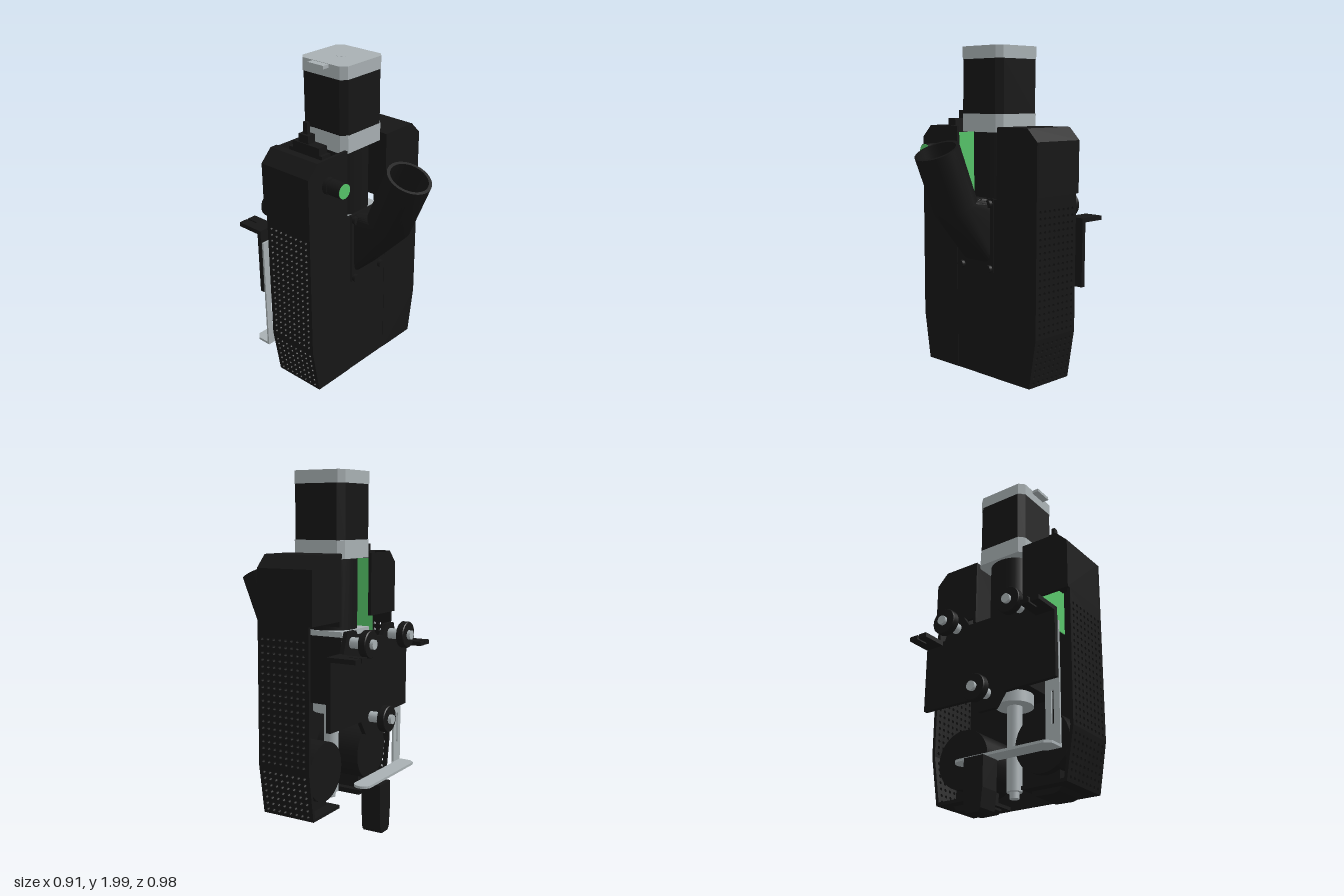
import * as THREE from 'three';
import { toCreasedNormals } from 'three/addons/utils/BufferGeometryUtils.js';

const black = new THREE.MeshStandardMaterial({ color: 0x161616 });
const blackThin = new THREE.MeshStandardMaterial({ color: 0x161616, side: THREE.DoubleSide });
const grey = new THREE.MeshStandardMaterial({ color: 0xa8b0b3 });
const green = new THREE.MeshStandardMaterial({ color: 0x55c468 });

const AXIS_Z = -0.095; // motor and spindle axis

function add(parent, name, geometry, material = black) {
  const mesh = new THREE.Mesh(geometry, material);
  mesh.name = name;
  parent.add(mesh);
  return mesh;
}

// Box from its limits on each axis
function box(parent, name, [x0, x1], [y0, y1], [z0, z1], material) {
  const g = new THREE.BoxGeometry(x1 - x0, y1 - y0, z1 - z0);
  return add(parent, name, g.translate((x0 + x1) / 2, (y0 + y1) / 2, (z0 + z1) / 2), material);
}

// Upright cylinder
function post(parent, name, r, y0, y1, x, z, material) {
  const g = new THREE.CylinderGeometry(r, r, y1 - y0, 32);
  return add(parent, name, g.translate(x, (y0 + y1) / 2, z), material);
}

// Cylinder running front to back
function pin(parent, name, r, z0, z1, x, y, material) {
  const g = new THREE.CylinderGeometry(r, r, z1 - z0, 28).rotateX(Math.PI / 2);
  return add(parent, name, g.translate(x, y, (z0 + z1) / 2), material);
}

const polygon = (pts) => new THREE.Shape(pts.map(([x, y]) => new THREE.Vector2(x, y)));
const extrude = (shape, depth) =>
  new THREE.ExtrudeGeometry(shape, { depth, bevelEnabled: false, curveSegments: 8 });

// Outline in x,y extruded between two z values
const slab = (parent, name, pts, z0, z1, material) =>
  add(parent, name, extrude(polygon(pts), z1 - z0).translate(0, 0, z0), material);

// Outline in x,z extruded between two y values
const layer = (parent, name, shape, y0, y1, material) =>
  add(parent, name, extrude(shape, y1 - y0).rotateX(Math.PI / 2).translate(0, y1, 0), material);

// Wall standing on a line in x,y, spanning z, with optional rows of vent holes
function wall(parent, name, [x0, y0], [x1, y1], z0, z1, ventRows = 0) {
  const len = Math.hypot(x1 - x0, y1 - y0);
  const shape = polygon([[0, z0], [len, z0], [len, z1], [0, z1]]);
  for (let r = 0; r < ventRows; r++) {
    for (let c = 0; c < 8; c++) {
      const hole = new THREE.Path();
      hole.absarc(0.025 + r * 0.037, 0.055 - c * 0.037, 0.009, 0, Math.PI * 2, true);
      shape.holes.push(hole);
    }
  }
  const t = 0.018, dx = (x1 - x0) / len, dy = (y1 - y0) / len;
  const placing = new THREE.Matrix4().makeBasis(
    new THREE.Vector3(dx, dy, 0), new THREE.Vector3(0, 0, 1), new THREE.Vector3(dy, -dx, 0));
  placing.setPosition(x0, y0, 0);
  add(parent, name, extrude(shape, t).translate(0, 0, -t).applyMatrix4(placing));
}

// Half of the housing, modelled on +x; topEnd is where the roof stops
function housingHalf(name, topEnd) {
  const g = new THREE.Group();
  g.name = name;
  const low = -0.235, high = -0.255, front = 0.085;
  slab(g, 'frontPanel', [[0.16, 0.15], [0.41, 0.15], [0.455, 0.43], [0.455, 1.49],
    [0.385, 1.56], [0.16, 1.56]], 0.067, front);
  wall(g, 'floor', [0.14, 0.15], [0.41, 0.15], low, 0.07);
  wall(g, 'lowerSide', [0.41, 0.15], [0.455, 0.43], low, 0.07, 7);
  wall(g, 'ventedSide', [0.455, 0.43], [0.455, 1.2], low, 0.07, 19);
  wall(g, 'upperSide', [0.455, 1.2], [0.455, 1.49], high, 0.07);
  wall(g, 'roofChamfer', [0.455, 1.49], [0.385, 1.56], high, 0.07);
  wall(g, 'roof', [0.385, 1.56], [topEnd, 1.56], high, 0.07);
  slab(g, 'upperBackPanel', [[0.163, 1.2], [0.45, 1.2], [0.45, 1.485], [0.383, 1.553],
    [0.163, 1.553]], high, high + 0.018);
  // Blower and its outlet below the floor
  pin(g, 'blower', 0.165, -0.215, 0.067, 0.255, 0.385);
  box(g, 'blowerDuct', [0.18, 0.33], [0.15, 0.3], [-0.17, 0.01]);
  slab(g, 'blowerOutlet', [[0.165, 0.155], [0.165, 0.138], [0.185, 0.122], [0.29, 0.12],
    [0.325, 0.13], [0.345, 0.155]], -0.175, 0.015);
  return g;
}

// Square with cut corners around the motor axis
function motorSection(h, cut) {
  const k = h - cut;
  const pts = [[-h, -k], [-k, -h], [k, -h], [h, -k], [h, k], [k, h], [-k, h], [-h, k]];
  return polygon(pts.map(([x, z]) => [x, z + AXIS_Z]));
}

// Tube lofted through rings: centre y,z; half sizes; tilt of the ring; squareness
function loft(rings, n = 48) {
  const pos = [], idx = [];
  rings.forEach(({ c, hx, hv, dir, p = 1 }, i) => {
    for (let k = 0; k < n; k++) {
      const a = (k / n) * Math.PI * 2;
      const u = hx * Math.sign(Math.cos(a)) * Math.abs(Math.cos(a)) ** p;
      const v = hv * Math.sign(Math.sin(a)) * Math.abs(Math.sin(a)) ** p;
      pos.push(u, c[0] + v * dir[0], c[1] + v * dir[1]);
      const m = (k + 1) % n, o = i * n;
      if (i) idx.push(o - n + k, o - n + m, o + m, o - n + k, o + m, o + k);
    }
  });
  const g = new THREE.BufferGeometry();
  g.setAttribute('position', new THREE.Float32BufferAttribute(pos, 3));
  g.setIndex(idx);
  return toCreasedNormals(g, 0.5);
}

export function createModel() {
  const model = new THREE.Group();
  model.name = 'toolHead';

  // Housing
  const leftHalf = housingHalf('leftHousing', 0.163);
  wall(leftHalf, 'innerWall', [0.163, 1.56], [0.163, 1.17], -0.255, 0.07);
  const rightHalf = housingHalf('rightHousing', 0.34);
  rightHalf.scale.x = -1;
  model.add(leftHalf, rightHalf);
  box(model, 'centreFrontPanel', [-0.161, 0.161], [0.15, 1.165], [0.065, 0.083]);

  // Motor
  layer(model, 'motorLowerFlange', motorSection(0.16, 0.03), 1.53, 1.63, grey);
  layer(model, 'motorBody', motorSection(0.159, 0.034), 1.63, 1.93);
  layer(model, 'motorCap', motorSection(0.16, 0.03), 1.93, 2, grey);
  post(model, 'motorCapBoss', 0.031, 1.95, 2.001, 0, AXIS_Z, grey);
  box(model, 'motorPlug', [-0.2, -0.155], [1.98, 1.998], [-0.15, -0.04], grey);

  // Spindle
  post(model, 'spindleHousing', 0.143, 1.13, 1.53, 0, AXIS_Z);
  box(model, 'spindlePlate', [-0.15, 0.15], [1.11, 1.14], [-0.25, 0.06], grey);
  box(model, 'spindleMount', [-0.15, 0.15], [0.73, 1.11], [-0.245, 0.066]);
  post(model, 'spindleCollar', 0.105, 0.665, 0.73, 0, AXIS_Z, grey);
  post(model, 'spindleShaft', 0.042, 0.19, 0.67, 0, AXIS_Z, grey);
  post(model, 'spindleTip', 0.026, 0.155, 0.19, 0, AXIS_Z, grey);

  // Suction tube with its flange
  const tilt = [0.4, -0.917], up = [1, 0];
  add(model, 'suctionTube', loft([
    { c: [0.985, 0.08], hx: 0.113, hv: 0.185, dir: up, p: 0.25 },
    { c: [1.13, 0.245], hx: 0.125, hv: 0.125, dir: tilt },
    { c: [1.44, 0.375], hx: 0.125, hv: 0.125, dir: tilt },
    { c: [1.44, 0.375], hx: 0.107, hv: 0.107, dir: tilt },
    { c: [1.13, 0.245], hx: 0.107, hv: 0.107, dir: tilt },
    { c: [0.985, 0.09], hx: 0.098, hv: 0.165, dir: up, p: 0.25 },
  ]), blackThin);
  box(model, 'tubeFlange', [-0.135, 0.135], [0.755, 1.17], [0.08, 0.09]);
  for (const x of [-0.11, 0.11])
    for (const y of [0.775, 1.14]) pin(model, 'flangeScrew', 0.022, 0.08, 0.11, x, y);

  // Button
  pin(model, 'buttonCollar', 0.047, 0.08, 0.112, -0.308, 1.415);
  pin(model, 'buttonBarrel', 0.044, 0.1, 0.197, -0.308, 1.415);
  pin(model, 'buttonFace', 0.041, 0.19, 0.2, -0.308, 1.415, green);

  // Circuit board with connector and lever
  box(model, 'circuitBoard', [-0.24, -0.234], [1.1, 1.52], [-0.225, 0.05], green);
  box(model, 'connector', [-0.305, -0.24], [1.36, 1.56], [-0.2, 0.04]);
  box(model, 'connectorTop', [-0.305, -0.245], [1.56, 1.6], [-0.17, 0.02]);
  box(model, 'connectorShoulder', [-0.3, -0.25], [1.6, 1.645], [-0.13, -0.06]);
  box(model, 'connectorLever', [-0.285, -0.265], [1.64, 1.71], [-0.11, -0.08]);

  // Carriage plate
  slab(model, 'carriagePlate', [[-0.43, 0.655], [-0.11, 0.65], [-0.055, 0.57], [0.055, 0.57],
    [0.11, 0.65], [0.43, 0.655], [0.43, 1.05], [0.3, 1.05], [0.26, 1.16], [0.17, 1.16],
    [0.13, 1.1], [-0.13, 1.1], [-0.17, 1.16], [-0.26, 1.16], [-0.3, 1.05], [-0.43, 1.05]],
  -0.35, -0.325);

  // Slotted tabs, standoffs and wheels
  for (const s of [-1, 1]) {
    const tab = [[0.315, -0.33], [0.43, -0.33], [0.43, -0.495], [0.377, -0.495],
      [0.377, -0.42], [0.367, -0.42], [0.367, -0.495], [0.315, -0.495]];
    layer(model, 'beltTab', polygon(tab.map(([x, z]) => [s * x, z])), 1.025, 1.05);
    for (const y of [0.83, 1.05]) pin(model, 'standoff', 0.029, -0.33, -0.235, s * 0.11, y, grey);
  }
  box(model, 'standoffPlate', [-0.14, 0.14], [0.83, 1.03], [-0.302, -0.28], grey);
  for (const [x, y] of [[-0.215, 1.1], [0.215, 1.1], [0, 0.66]]) {
    pin(model, 'wheelSpacer', 0.03, -0.425, -0.305, x, y, grey);
    pin(model, 'wheelBolt', 0.026, -0.488, -0.42, x, y, grey);
    const profile = [[0.025, -0.022], [0.07, -0.022], [0.074, -0.017], [0.074, 0.017],
      [0.07, 0.022], [0.025, 0.022], [0.025, -0.022]].map(([r, h]) => new THREE.Vector2(r, h));
    const wheel = toCreasedNormals(new THREE.LatheGeometry(profile, 36), 0.5);
    add(model, 'wheel', wheel.rotateX(Math.PI / 2).translate(x, y, -0.447));
  }

  // Bent bracket carrying the probe
  const strip = polygon([[-0.43, 0.3], [-0.345, 0.3], [-0.345, 0.98], [-0.43, 0.98]]);
  strip.holes.push(new THREE.Path([[-0.395, 0.42], [-0.38, 0.42], [-0.38, 0.6], [-0.395, 0.6]]
    .map(([x, y]) => new THREE.Vector2(x, y))));
  add(model, 'bracketStrip', extrude(strip, 0.012).translate(0, 0, -0.318), grey);
  const arm = polygon([[-0.345, -0.306], [-0.43, -0.306], [-0.43, -0.39], [-0.4, -0.42]]);
  arm.lineTo(0.115, -0.42);
  arm.absarc(0.115, -0.37, 0.05, -Math.PI / 2, Math.PI / 2, false);
  arm.lineTo(-0.33, -0.32);
  layer(model, 'bracketArm', arm, 0.294, 0.308, grey);
  slab(model, 'probe', [[-0.06, 0.294], [-0.06, 0.13], [-0.05, 0.03], [-0.035, 0.012],
    [0.035, 0.012], [0.05, 0.03], [0.06, 0.13], [0.06, 0.294]], -0.445, -0.33);

  return model;
}
